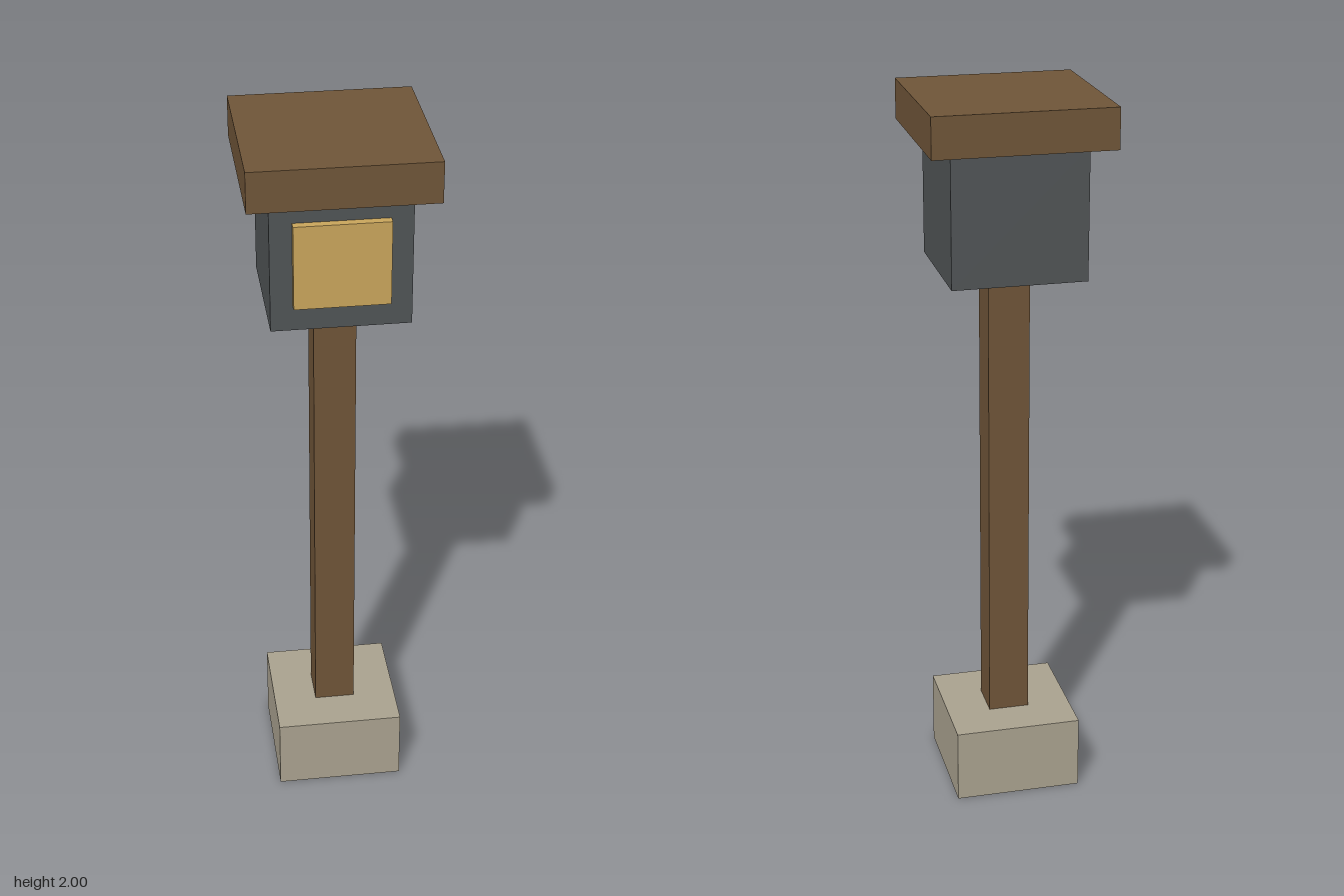
import * as THREE from 'three';

export function createModel() {
  const model = new THREE.Group();
  model.name = 'lampPost';

  const material = (name, color) => {
    const m = new THREE.MeshStandardMaterial({ color });
    m.name = name;
    return m;
  };
  const wood = material('brown wood', 0x6f5538);
  const stone = material('pale stone', 0xaaa28f);
  const metal = material('dark metal', 0x505456);
  const glow = material('amber glass', 0xc9a55c);

  // Box spanning y0 to y1, centred on x = 0 and on the given z
  const block = (name, mat, width, y0, y1, depth = width, z = 0) => {
    const mesh = new THREE.Mesh(new THREE.BoxGeometry(width, y1 - y0, depth), mat);
    mesh.position.set(0, (y0 + y1) / 2, z);
    mesh.name = name;
    model.add(mesh);
  };

  block('base', stone, 0.356, 0, 0.21);
  block('post', wood, 0.114, 0.21, 1.53);
  block('lanternHousing', metal, 0.366, 1.53, 1.89);
  block('roofCap', wood, 0.487, 1.89, 2);

  // Pane standing proud of the front of the housing
  block('lanternPane', glow, 0.25, 1.6, 1.83, 0.024, 0.194);

  return model;
}
